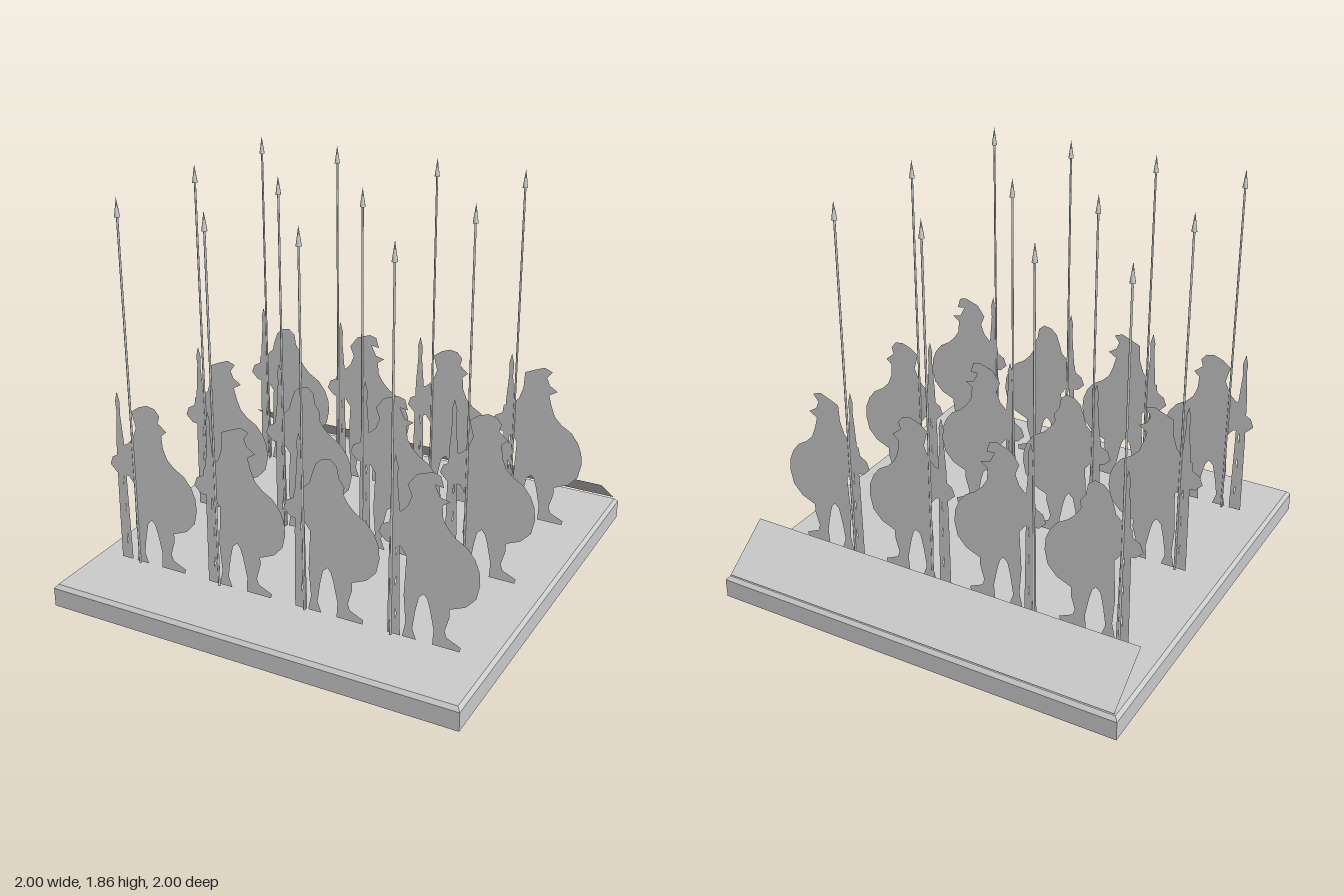
import * as THREE from 'three';

const grey = new THREE.MeshStandardMaterial({ color: 0xcccccc, side: THREE.DoubleSide });
grey.name = 'plain grey';

function addMesh(parent, name, geometry) {
  const mesh = new THREE.Mesh(geometry, grey);
  mesh.name = name;
  parent.add(mesh);
  return mesh;
}

const toShape = (points) => new THREE.Shape(points.map(([x, y]) => new THREE.Vector2(x, y)));

// Left foot up the back, with the bent arm, to the shoulder
const backSide = [
  [-0.115, 0.128], [-0.1, 0.2], [-0.11, 0.33], [-0.1, 0.52], [-0.13, 0.56], [-0.195, 0.565],
  [-0.23, 0.6], [-0.215, 0.64], [-0.18, 0.66], [-0.175, 0.7], [-0.13, 0.72], [-0.1, 0.75],
];
// Shoulder, round shield, right leg and the gap between the legs
const shieldSide = [
  [0.085, 0.69], [0.12, 0.655], [0.17, 0.625], [0.205, 0.58], [0.225, 0.53], [0.23, 0.47],
  [0.215, 0.4], [0.17, 0.35], [0.1, 0.32], [0.1, 0.28], [0.08, 0.21], [0.09, 0.18],
  [0.155, 0.15], [0.15, 0.128], [0.025, 0.128], [0.03, 0.2], [0.01, 0.3], [-0.002, 0.34],
  [-0.018, 0.36], [-0.04, 0.34], [-0.055, 0.27], [-0.068, 0.18], [-0.05, 0.128],
];

// Four helmets, each with its spear and pole positions
const variants = [
  { spear: -0.1, pole: -0.168, head: [ // low crest and visor
    [-0.075, 0.81], [-0.095, 0.885], [-0.055, 0.915], [-0.01, 0.932], [0.03, 0.925], [0.055, 0.895],
    [0.045, 0.86], [0.088, 0.825], [0.06, 0.8], [0.065, 0.74]] },
  { spear: -0.12, pole: -0.145, head: [ // forward crest
    [-0.08, 0.81], [-0.075, 0.89], [-0.03, 0.91], [0.02, 0.93], [0.06, 0.915], [0.035, 0.88],
    [0.05, 0.845], [0.09, 0.82], [0.05, 0.795], [0.065, 0.74]] },
  { spear: -0.135, pole: -0.15, head: [ // round hood
    [-0.09, 0.79], [-0.07, 0.845], [-0.04, 0.872], [0, 0.88], [0.03, 0.855], [0.04, 0.8],
    [0.065, 0.765], [0.06, 0.73]] },
  { spear: -0.17, pole: -0.155, head: [ // swept plume
    [-0.08, 0.8], [-0.1, 0.85], [-0.06, 0.905], [0.01, 0.93], [0.045, 0.92], [0.06, 0.87],
    [0.02, 0.875], [0.045, 0.825], [0.09, 0.815], [0.055, 0.79], [0.06, 0.73]] },
];

// Flat pole with a pointed tip and narrow slits
function poleShape(x) {
  const shape = toShape([
    [x - 0.03, 0.128], [x - 0.026, 0.5], [x - 0.02, 0.72], [x - 0.008, 0.88], [x - 0.012, 0.92], [x, 0.97],
    [x + 0.013, 0.92], [x + 0.01, 0.86], [x + 0.022, 0.72], [x + 0.024, 0.5], [x + 0.03, 0.128],
  ]);
  for (const y of [0.2, 0.36, 0.5]) {
    shape.holes.push(new THREE.Path([
      new THREE.Vector2(x + 0.004, y), new THREE.Vector2(x + 0.011, y + 0.03),
      new THREE.Vector2(x + 0.006, y + 0.06)]));
  }
  return shape;
}

const kinds = variants.map((v) => ({
  spear: v.spear,
  body: new THREE.ShapeGeometry(toShape([...backSide, ...v.head, ...shieldSide])),
  pole: new THREE.ShapeGeometry(poleShape(v.pole)),
}));
const shaft = new THREE.CylinderGeometry(0.005, 0.005, 1.66, 8);
const tip = new THREE.ConeGeometry(0.013, 0.085, 8);

function createSoldier(kind) {
  const soldier = new THREE.Group();
  soldier.name = 'soldier';
  addMesh(soldier, 'body', kind.body);
  addMesh(soldier, 'flatPole', kind.pole);
  addMesh(soldier, 'spearShaft', shaft).position.set(kind.spear, 0.95, 0);
  addMesh(soldier, 'spearTip', tip).position.set(kind.spear, 1.82, 0);
  return soldier;
}

export function createModel() {
  const model = new THREE.Group();
  model.name = 'soldierFormation';

  // Square base with a chamfered top
  addMesh(model, 'base', new THREE.BoxGeometry(2, 0.09, 2)).position.y = 0.045;
  const chamfer = new THREE.CylinderGeometry(0.985 * Math.SQRT2, Math.SQRT2, 0.018, 4)
    .rotateY(Math.PI / 4).toNonIndexed();
  chamfer.computeVertexNormals();
  addMesh(model, 'baseChamfer', chamfer).position.y = 0.099;

  // Sloped plate along the back edge
  const rise = 0.175, run = 0.235;
  const plate = new THREE.PlaneGeometry(1.96, Math.hypot(rise, run)).rotateX(-Math.PI / 2);
  // Spin so the low edge lies at the back
  plate.rotateX(-Math.atan2(rise, run));
  addMesh(model, 'slopedPlate', plate).position.set(0, 0.115 + rise / 2, -0.985 + run / 2);

  // Three ranks of four, the kinds shifting by one in each rank
  [0.67, 0.055, -0.56].forEach((z, row) => {
    for (let col = 0; col < 4; col++) {
      const soldier = createSoldier(kinds[(col + row) % 4]);
      soldier.position.set(-0.658 + col * 0.4537, 0, z);
      model.add(soldier);
    }
  });
  return model;
}
